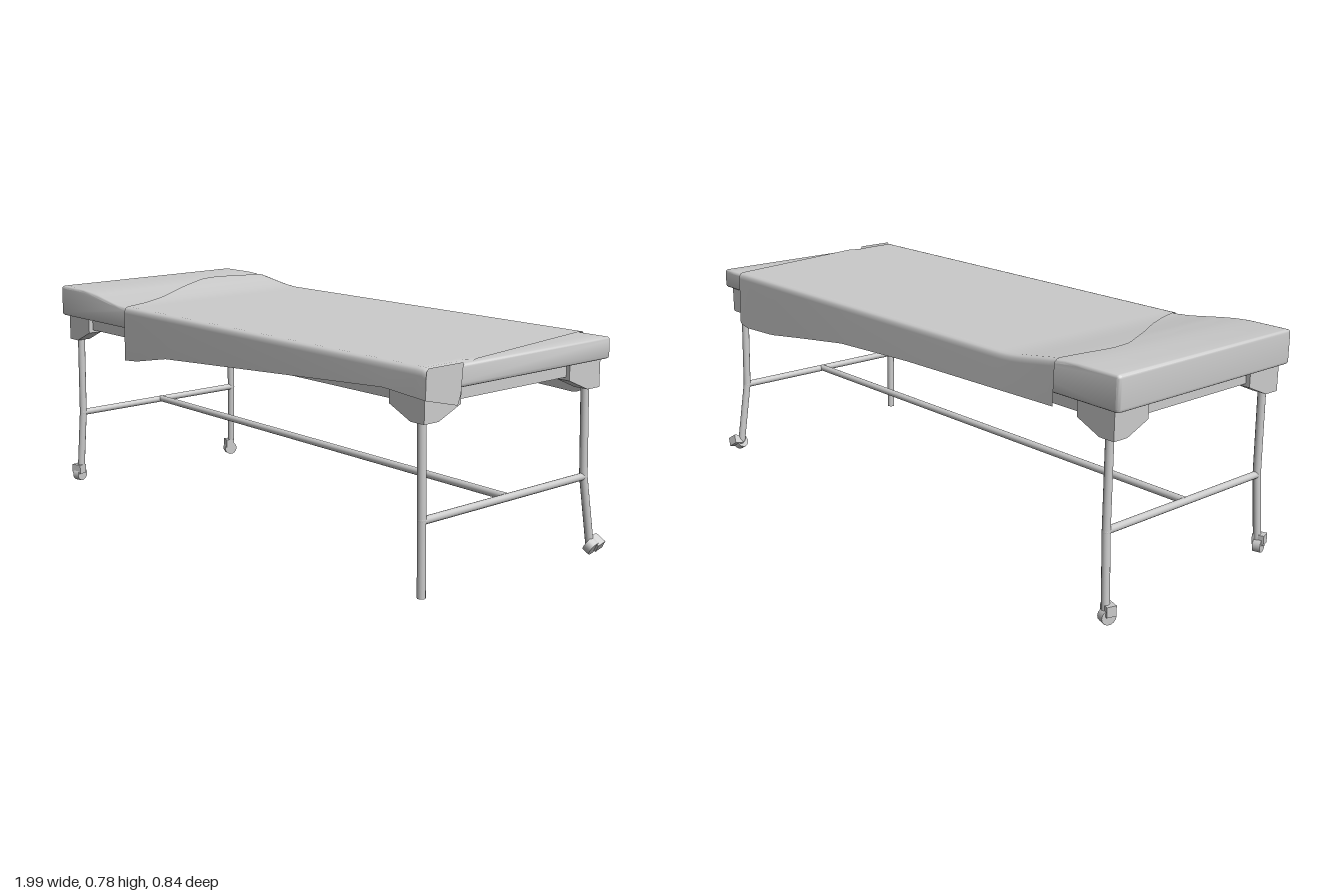
import * as THREE from 'three';
import { toCreasedNormals } from 'three/addons/utils/BufferGeometryUtils.js';

const material = new THREE.MeshStandardMaterial({ color: 0xcccccc });
const clothMaterial = new THREE.MeshStandardMaterial({ color: 0xcccccc, side: THREE.DoubleSide });

// The whole bed leans slightly toward its front left corner
const tilt = (x, z) => -0.016 * x - 0.031 * z;
// Level height of the mattress top, raised at the head
const topAt = (x) => 0.712 - 0.004 * x + 0.036 * (1 - THREE.MathUtils.smoothstep(x, -0.86, -0.52));

// Piecewise linear reading of [key, value] pairs with rising keys
function read(pairs, k) {
  if (k <= pairs[0][0]) return pairs[0][1];
  for (let i = 1; i < pairs.length; i++) {
    const [a, va] = pairs[i - 1], [b, vb] = pairs[i];
    if (k <= b) return va + ((vb - va) * (k - a)) / (b - a);
  }
  return pairs[pairs.length - 1][1];
}

function lean(geometry) {
  const p = geometry.attributes.position;
  for (let i = 0; i < p.count; i++) p.setY(i, p.getY(i) + tilt(p.getX(i), p.getZ(i)));
  geometry.computeVertexNormals();
  return geometry;
}

function add(parent, name, geometry, mat = material) {
  const mesh = new THREE.Mesh(geometry, mat);
  mesh.name = name;
  parent.add(mesh);
  return mesh;
}

// Straight round bar between two points
function bar(parent, name, a, b, r) {
  const from = new THREE.Vector3(...a), to = new THREE.Vector3(...b);
  const dir = to.clone().sub(from);
  const mesh = add(parent, name, new THREE.CylinderGeometry(r, r, dir.length(), 14));
  mesh.position.copy(from).addScaledVector(dir, 0.5);
  mesh.quaternion.setFromUnitVectors(new THREE.Vector3(0, 1, 0), dir.normalize());
}

// Side profile of the mattress, extruded across its width with rounded edges
function mattress(parent) {
  const x0 = -1, x1 = 0.985, y0 = 0.64, r = 0.012;
  const s = new THREE.Shape();
  s.moveTo(x0 + r, y0);
  s.lineTo(x1 - r, y0);
  s.quadraticCurveTo(x1, y0, x1, y0 + r);
  s.lineTo(x1, topAt(x1) - r);
  s.quadraticCurveTo(x1, topAt(x1), x1 - r, topAt(x1));
  for (let i = 1; i <= 40; i++) {
    const x = x1 - r + ((x0 - x1 + 2 * r) * i) / 40;
    s.lineTo(x, topAt(x));
  }
  s.quadraticCurveTo(x0, topAt(x0), x0, topAt(x0) - r);
  s.lineTo(x0, y0 + r);
  s.quadraticCurveTo(x0, y0, x0 + r, y0);
  const g = new THREE.ExtrudeGeometry(s, {
    depth: 0.78 - 0.024, curveSegments: 4, bevelEnabled: true,
    bevelThickness: 0.012, bevelSize: 0.01, bevelOffset: -0.01, bevelSegments: 3,
  });
  g.translate(0, 0, -0.375 + 0.012);
  add(parent, 'mattress', toCreasedNormals(lean(g), 0.7));
}

// Draped sheet: a grid of cross-sections running from the front hem to the back hem
function sheet(parent) {
  const frontHem = [[-0.535, 0.525], [-0.46, 0.53], [-0.28, 0.56], [0.25, 0.585], [0.82, 0.612], [0.99, 0.597]];
  const backHem = [[-0.76, 0.63], [-0.1, 0.607], [0.25, 0.585], [0.5, 0.547], [0.67, 0.52], [0.84, 0.51], [0.88, 0.525]];
  const leftEdge = [[-0.38, -0.76], [-0.3, -0.775], [-0.18, -0.8], [-0.1, -0.79], [0.05, -0.71], [0.2, -0.62], [0.3, -0.575], [0.41, -0.54]];
  const rightEdge = [[-0.38, 0.875], [0.27, 0.985], [0.41, 0.99]];
  const rows = [];
  const top = (z, drop) => rows.push({ z, y: (x) => topAt(x) + 0.004 - drop - (x > 0.975 ? 0.008 : 0) + tilt(x, z) });
  rows.push({ z: 0.414, y: (x) => read(frontHem, x) });
  top(0.411, 0.022); top(0.409, 0.01); top(0.403, 0.003);
  for (let i = 0; i <= 24; i++) top(0.392 - (0.755 * i) / 24, 0);
  top(-0.373, 0.003); top(-0.379, 0.01); top(-0.381, 0.022);
  rows.push({ z: -0.386, y: (x) => read(backHem, x) });

  const n = 70, pos = [], idx = [];
  rows.forEach(({ z, y }, j) => {
    const a = read(leftEdge, z), b = read(rightEdge, z);
    for (let i = 0; i <= n; i++) {
      const x = a + ((b - a) * i) / n;
      pos.push(x, y(x), z);
      if (j && i) {
        const q = j * (n + 1) + i, p = q - n - 1;
        idx.push(p - 1, p, q, p - 1, q, q - 1);
      }
    }
  });
  const g = new THREE.BufferGeometry();
  g.setAttribute('position', new THREE.Float32BufferAttribute(pos, 3));
  g.setIndex(idx);
  g.computeVertexNormals();
  add(parent, 'sheet', g, clothMaterial);

  // Corner of the sheet folded over the foot end
  const f = new THREE.Shape();
  [[-0.414, 0.597], [-0.29, 0.57], [-0.278, 0.6], [-0.27, 0.689], [-0.405, 0.685], [-0.412, 0.675]]
    .forEach(([x, y], i) => (i ? f.lineTo(x, y) : f.moveTo(x, y)));
  const flap = new THREE.ShapeGeometry(f);
  flap.rotateY(Math.PI / 2);
  flap.translate(0.99, 0, 0);
  add(parent, 'sheetEndFlap', flap, clothMaterial);
}

// Rectangular rail frame below the mattress
function frame(parent) {
  for (const [z, name] of [[0.35, 'frontRail'], [-0.325, 'backRail']])
    add(parent, name, lean(new THREE.BoxGeometry(1.9, 0.047, 0.04).translate(-0.008, 0.6215, z)));
  for (const [x, name] of [[0.925, 'footRail'], [-0.94, 'headRail']])
    add(parent, name, lean(new THREE.BoxGeometry(0.04, 0.047, 0.7).translate(x, 0.6215, 0.0125)));
}

// Corner bracket: two tapered plates meeting at the outer corner
function bracket(parent, x, z, sx, sz) {
  const group = new THREE.Group();
  group.name = 'cornerBracket';
  const plate = (alongX) => {
    const s = new THREE.Shape();
    [[0, 0.642], [0, 0.55], [0.055, 0.55], [0.142, 0.588], [0.142, 0.642]]
      .forEach(([u, y], i) => (i ? s.lineTo(u, y) : s.moveTo(u, y)));
    const g = new THREE.ExtrudeGeometry(s, { depth: 0.052, bevelEnabled: false });
    const p = g.attributes.position;
    const flip = sx * sz * (alongX ? 1 : -1) < 0;
    for (let i = 0; i < p.count; i++) {
      const u = p.getX(i), w = p.getZ(i);
      p.setX(i, x - sx * (alongX ? u : w));
      p.setZ(i, z - sz * (alongX ? w : u));
    }
    // Mirrored copies need their corner order reversed
    if (flip) {
      for (let i = 0; i < p.count; i += 3) {
        const a = new THREE.Vector3().fromBufferAttribute(p, i);
        const b = new THREE.Vector3().fromBufferAttribute(p, i + 1);
        p.setXYZ(i, b.x, b.y, b.z);
        p.setXYZ(i + 1, a.x, a.y, a.z);
      }
    }
    add(group, alongX ? 'sidePlate' : 'endPlate', lean(g));
  };
  plate(true);
  plate(false);
  parent.add(group);
}

// Small wheel held in a block
function caster(parent, x, y, z, turn, roll) {
  const group = new THREE.Group();
  group.name = 'caster';
  const wheel = add(group, 'wheel', new THREE.CylinderGeometry(0.025, 0.025, 0.026, 14));
  wheel.rotation.z = Math.PI / 2;
  wheel.position.y = -0.005;
  add(group, 'fork', new THREE.BoxGeometry(0.04, 0.034, 0.032)).position.set(0, 0.016, 0.004);
  group.position.set(x, y, z);
  group.rotation.set(roll, turn, 0);
  parent.add(group);
}

export function createModel() {
  const model = new THREE.Group();
  model.name = 'wheeledBed';
  mattress(model);
  sheet(model);
  frame(model);

  // Legs: top, knee and foot of each
  const legs = {
    frontLeftLeg: [[0.92, 0.6, 0.36], [0.92, 0.24, 0.353], [0.915, 0.008, 0.345]],
    frontRightLeg: [[-0.937, 0.63, 0.36], [-0.942, 0.27, 0.36], [-0.955, 0.035, 0.37]],
    backLeftLeg: [[0.922, 0.61, -0.333], [0.922, 0.26, -0.345], [0.928, 0.035, -0.38]],
    backRightLeg: [[-0.937, 0.63, -0.335], [-0.942, 0.29, -0.342], [-0.955, 0.035, -0.348]],
  };
  for (const [name, [a, b, c]] of Object.entries(legs)) {
    const leg = new THREE.Group();
    leg.name = name;
    bar(leg, 'upperTube', a, b, 0.013);
    bar(leg, 'lowerTube', b, c, 0.013);
    add(leg, 'knee', new THREE.SphereGeometry(0.0135, 12, 8)).position.set(...b);
    model.add(leg);
  }

  // Crossbars and the long stretcher between them
  bar(model, 'footCrossbar', [0.92, 0.237, 0.353], [0.922, 0.259, -0.343], 0.012);
  bar(model, 'headCrossbar', [-0.942, 0.27, 0.36], [-0.942, 0.292, -0.342], 0.012);
  bar(model, 'stretcher', [-0.942, 0.283, 0.005], [0.92, 0.25, 0.005], 0.012);

  caster(model, -0.96, 0.031, 0.372, 0.3, 0);
  caster(model, -0.96, 0.033, -0.346, -0.3, 0);
  caster(model, 0.935, 0.03, -0.385, 0.6, -1.3);

  for (const [x, sx] of [[0.958, 1], [-0.975, -1]])
    for (const [z, sz] of [[0.386, 1], [-0.36, -1]]) bracket(model, x, z, sx, sz);
  return model;
}
